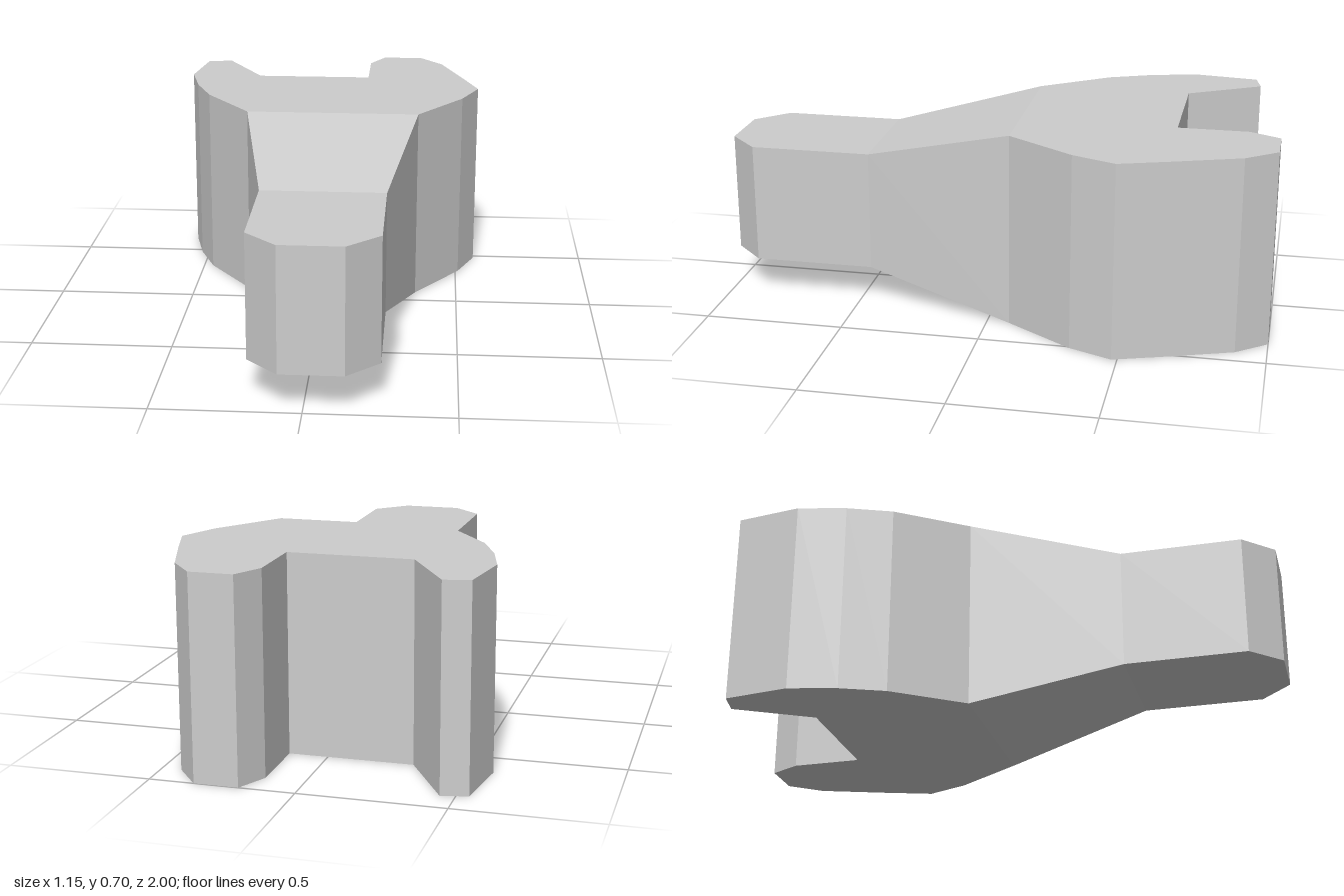
import * as THREE from 'three';
import { mergeGeometries } from 'three/addons/utils/BufferGeometryUtils.js';

const HEIGHT = 0.704;
const HEAD_Z = -0.08;   // seam between head and taper
const GRIP_Z = 0.455;   // seam between taper and handle
const GRIP_SCALE = 0.62; // handle thickness relative to the head

// Plan outlines as [x, z]
const headOutline = [
  [-0.29, HEAD_Z], [0.345, HEAD_Z], [0.51, -0.325], [0.573, -0.48],
  [0.515, -0.655], [0.432, -0.89], [0.345, -1], [0.192, -1],
  [0.137, -0.89], [0.137, -0.64], [-0.3, -0.64], [-0.45, -0.9],
  [-0.542, -0.88], [-0.573, -0.645], [-0.53, -0.475], [-0.465, -0.32],
];
const taperOutline = [
  [-0.19, GRIP_Z], [0.248, GRIP_Z], [0.345, HEAD_Z], [-0.29, HEAD_Z],
];
const handleOutline = [
  [-0.08, 1], [0.137, 1], [0.248, 0.89], [0.248, GRIP_Z],
  [-0.19, GRIP_Z], [-0.19, 0.89],
];

// Extrudes an outline upward, thins it towards the handle and opens the hidden seams
function slab(outline) {
  const shape = new THREE.Shape(outline.map(([x, z]) => new THREE.Vector2(x, -z)));
  const source = new THREE.ExtrudeGeometry(shape, { depth: HEIGHT, bevelEnabled: false });
  source.rotateX(-Math.PI / 2);
  const p = source.attributes.position;
  const kept = [];
  for (let i = 0; i < p.count; i += 3) {
    const corners = [i, i + 1, i + 2];
    const onSeam = (seam) => corners.every((c) => Math.abs(p.getZ(c) - seam) < 1e-4);
    if (onSeam(HEAD_Z) || onSeam(GRIP_Z)) continue;
    for (const c of corners) {
      const t = THREE.MathUtils.clamp((p.getZ(c) - HEAD_Z) / (GRIP_Z - HEAD_Z), 0, 1);
      const scale = THREE.MathUtils.lerp(1, GRIP_SCALE, t);
      kept.push(p.getX(c), HEIGHT / 2 + (p.getY(c) - HEIGHT / 2) * scale, p.getZ(c));
    }
  }
  const geometry = new THREE.BufferGeometry();
  geometry.setAttribute('position', new THREE.Float32BufferAttribute(kept, 3));
  geometry.computeVertexNormals();
  return geometry;
}

export function createModel() {
  const group = new THREE.Group();
  group.name = 'wrench';
  const steel = new THREE.MeshStandardMaterial({ color: 0xcccccc });
  steel.name = 'steel grey';

  // Open jaw head
  const head = new THREE.Mesh(slab(headOutline), steel);
  head.name = 'jawHead';

  // Tapered neck and chamfered grip
  const handle = new THREE.Mesh(mergeGeometries([slab(taperOutline), slab(handleOutline)]), steel);
  handle.name = 'handle';

  group.add(head, handle);
  return group;
}
